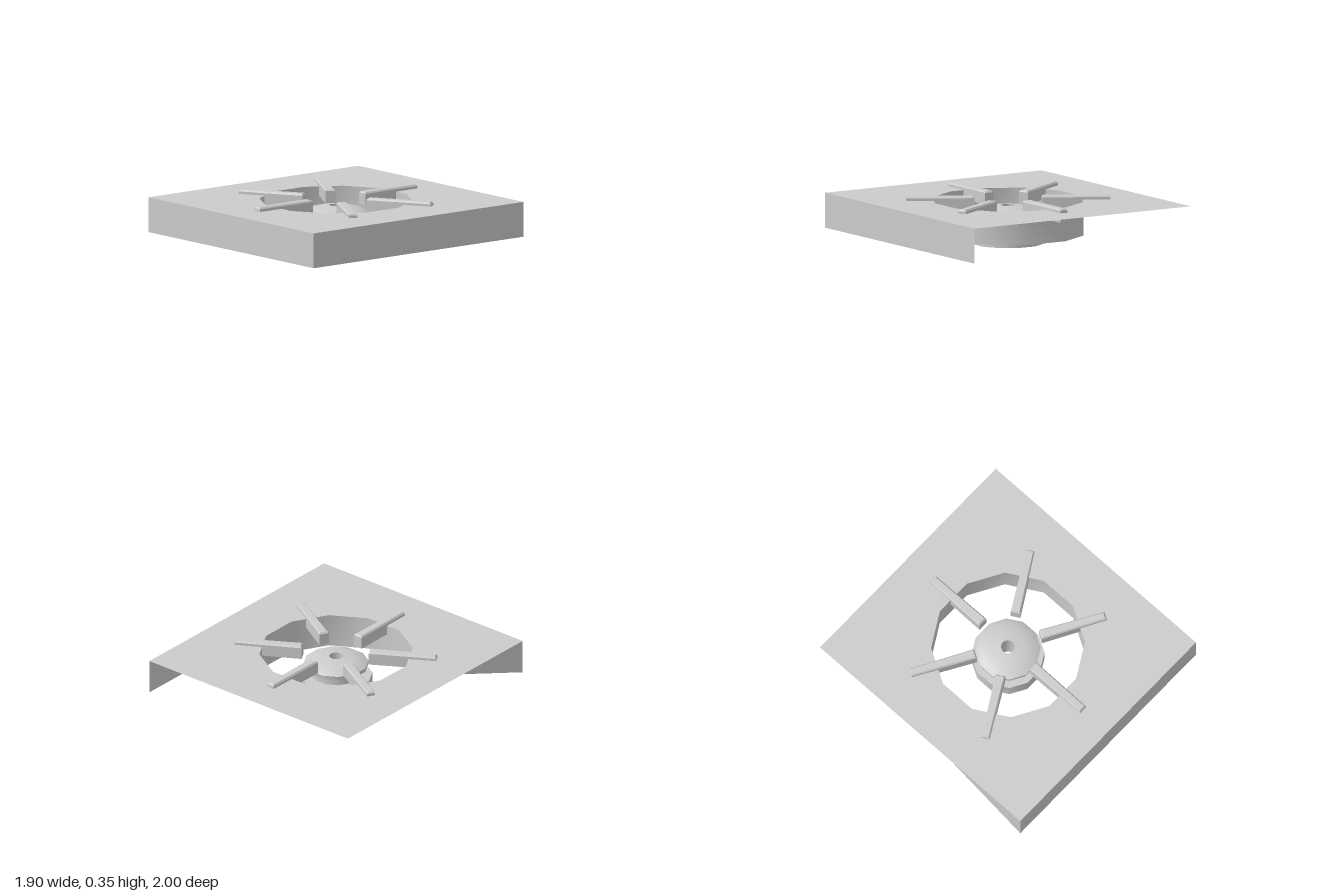
import * as THREE from 'three';
import { toCreasedNormals } from 'three/addons/utils/BufferGeometryUtils.js';

const SIDES = 12;
const material = new THREE.MeshStandardMaterial({ color: 0xcccccc, side: THREE.DoubleSide });

function addMesh(parent, name, geometry) {
  const mesh = new THREE.Mesh(geometry, material);
  mesh.name = name;
  parent.add(mesh);
  return mesh;
}

// Flat sheet from 2D points, with an optional hole
function sheet(points, hole) {
  const shape = new THREE.Shape(points.map(([x, y]) => new THREE.Vector2(x, y)));
  if (hole) shape.holes.push(new THREE.Path(hole));
  return new THREE.ShapeGeometry(shape);
}

// Twelve-sided turned form with flat sides facing the axes
function turned(profile) {
  const points = profile.map(([r, y]) => new THREE.Vector2(r, y));
  const geometry = new THREE.LatheGeometry(points, SIDES, Math.PI / SIDES);
  return toCreasedNormals(geometry, 0.6);
}

// Tapered channel along +z, open below, with a bevelled top
function spokeGeometry() {
  const loops = [[0.25, 0], [0.338, 0], [0.35, 0.01]].map(([y, inset]) => {
    const inner = 0.25 + inset, outer = 0.75 - inset;
    const wIn = 0.037 - inset, wOut = 0.031 - inset;
    return [[-wIn, y, inner], [-wOut, y, outer], [wOut, y, outer], [wIn, y, inner]];
  });
  const positions = [];
  const quad = (a, b, c, d) => positions.push(...a, ...b, ...c, ...a, ...c, ...d);
  for (let i = 0; i < 2; i++) {
    for (let j = 0; j < 4; j++) {
      const k = (j + 1) % 4;
      quad(loops[i][k], loops[i + 1][k], loops[i + 1][j], loops[i][j]);
    }
  }
  quad(...loops[2]);
  const geometry = new THREE.BufferGeometry();
  geometry.setAttribute('position', new THREE.Float32BufferAttribute(positions, 3));
  geometry.computeVertexNormals();
  return geometry;
}

export function createModel() {
  const model = new THREE.Group();
  model.name = 'burner';
  const W = 0.95, D = 1, TOP = 0.32, LOW = 0.06, HOLE = 0.565;

  // Top plate with a twelve-sided opening
  const hole = Array.from({ length: SIDES }, (_, i) => {
    const a = ((i + 0.5) / SIDES) * Math.PI * 2;
    return new THREE.Vector2(Math.cos(a) * HOLE, Math.sin(a) * HOLE);
  });
  const plate = sheet([[-W, -D], [W, -D], [W, D], [-W, D]], hole);
  plate.rotateX(-Math.PI / 2).translate(0, TOP, 0);
  addMesh(model, 'topPlate', plate);

  // Front and left skirts, and the triangular gusset on the opposite side
  const front = sheet([[-W, LOW], [W, LOW], [W, TOP], [-W, TOP]]);
  addMesh(model, 'frontSkirt', front.translate(0, 0, D));
  const side = sheet([[-D, LOW], [D, LOW], [D, TOP], [-D, TOP]]);
  addMesh(model, 'leftSkirt', side.rotateY(Math.PI / 2).translate(W, 0, 0));
  const gusset = sheet([[D, LOW], [D, TOP], [0.32, TOP]]);
  addMesh(model, 'rightGusset', gusset.rotateY(-Math.PI / 2).translate(-W, 0, 0));

  // Wall hanging from the opening
  addMesh(model, 'openingWall', turned([[HOLE, 0.07], [HOLE, TOP]]));

  // Central burner: bored dome cap, waist and open base
  const burner = new THREE.Group();
  burner.name = 'burnerHead';
  model.add(burner);
  addMesh(burner, 'cap', turned([
    [0.18, 0.19], [0.237, 0.2], [0.24, 0.23], [0.2, 0.255], [0.13, 0.272], [0.052, 0.28],
  ]));
  addMesh(burner, 'centreTube', turned([[0.052, 0.04], [0.052, 0.28]]));
  addMesh(burner, 'base', turned([
    [0.22, 0], [0.268, 0], [0.268, 0.13], [0.18, 0.13], [0.18, 0.19],
  ]));
  addMesh(burner, 'baseLining', turned([[0.22, 0], [0.22, 0.1], [0.18, 0.13]]));

  // Six radial pan supports
  const spoke = spokeGeometry();
  for (let i = 0; i < 6; i++) {
    addMesh(model, 'panSupport', spoke).rotation.y = (i * Math.PI) / 3;
  }
  return model;
}
